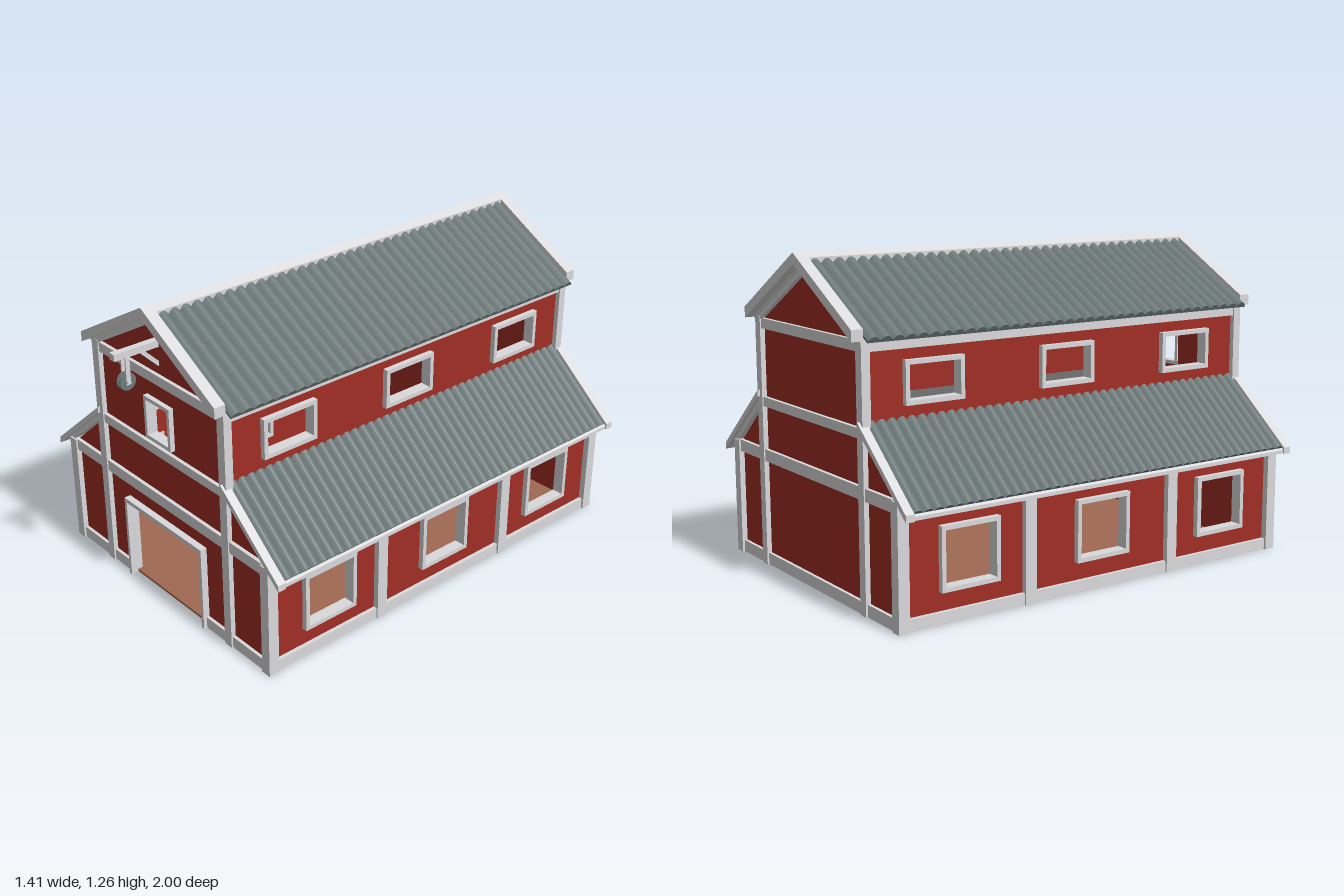
import * as THREE from 'three';

const mat = (name, color) => Object.assign(new THREE.MeshStandardMaterial({ color }), { name });

export function createModel() {
  const red = mat('barn red', 0xa02e25);
  const trim = mat('pale grey trim', 0xdadadc);
  const slate = mat('roof grey', 0x6e7a7a);
  const wood = mat('floor brown', 0xa06a52);

  const add = (parent, name, geo, m) => {
    const mesh = new THREE.Mesh(geo, m);
    mesh.name = name;
    parent.add(mesh);
    return mesh;
  };
  // Box given by its limits on each axis
  const box = (parent, name, m, x0, x1, y0, y1, z0, z1) =>
    add(parent, name, new THREE.BoxGeometry(x1 - x0, y1 - y0, z1 - z0)
      .translate((x0 + x1) / 2, (y0 + y1) / 2, (z0 + z1) / 2), m);
  const poly = (pts) => new THREE.Shape(pts.map(([x, y]) => new THREE.Vector2(x, y)));
  const rect = (x0, x1, y0, y1) => poly([[x0, y0], [x1, y0], [x1, y1], [x0, y1]]);
  // Outline in x and y, extruded from z0 to z1
  const slab = (parent, name, m, shape, z0, z1) =>
    add(parent, name, new THREE.ExtrudeGeometry(shape, { depth: z1 - z0, bevelEnabled: false })
      .translate(0, 0, z0), m);
  const frameShape = (x0, x1, y0, y1, t) => {
    const s = rect(x0, x1, y0, y1);
    s.holes.push(rect(x0 + t, x1 - t, y0 + t, y1 - t));
    return s;
  };

  const model = new THREE.Group();
  model.name = 'barn';
  const barn = new THREE.Group();
  barn.name = 'building';
  barn.position.z = -0.065;
  model.add(barn);

  box(barn, 'floor', wood, -0.612, 0.612, 0.002, 0.012, -0.872, 0.872);

  // End walls; only the front has a door and a loft window
  function makeEnd(isFront) {
    const end = new THREE.Group();
    end.name = isFront ? 'frontEnd' : 'backEnd';
    const right = [[0.612, 0], [0.612, 0.455], [0.39, 0.645], [0.39, 0.99]];
    const left = right.map(([x, y]) => [-x, y]).reverse();
    const door = isFront ? [[-0.24, 0], [-0.24, 0.345], [0.24, 0.345], [0.24, 0]] : [];
    const outline = poly([...right, [0, 1.21], ...left, ...door]);
    if (isFront) outline.holes.push(rect(-0.07, 0.07, 0.705, 0.86));
    slab(end, 'endWall', red, outline, 0.855, 0.875);

    // Horizontal beams
    for (const [w, y0, y1] of [[0.62, 0.42, 0.467], [0.39, 0.638, 0.675], [0.39, 0.943, 0.983]])
      box(end, 'endBeam', trim, -w, w, y0, y1, 0.86, 0.89);
    for (const s of [-1, 1]) {
      const inner = isFront ? 0.245 : 0;
      const [a, b] = s > 0 ? [inner, 0.62] : [-0.62, -inner];
      box(end, 'baseBoard', trim, a, b, 0, 0.047, 0.86, 0.888);
      box(end, 'cornerPost', trim, s * 0.615 - 0.022, s * 0.615 + 0.022, 0, 0.465, 0.852, 0.897);
      box(end, 'tallPost', trim, s * 0.39 - 0.02, s * 0.39 + 0.02, 0, 0.99, 0.86, 0.895);
      if (isFront)
        box(end, 'doorJamb', trim, s * 0.242 - 0.007, s * 0.242 + 0.007, 0, 0.355, 0.85, 0.903);
    }
    if (isFront) {
      box(end, 'doorLintel', trim, -0.249, 0.249, 0.338, 0.355, 0.85, 0.903);
      slab(end, 'loftWindowFrame', trim, frameShape(-0.08, 0.08, 0.695, 0.872, 0.015), 0.85, 0.895);
    }
    return end;
  }
  barn.add(makeEnd(true));
  const back = makeEnd(false);
  back.rotation.y = Math.PI;
  barn.add(back);

  // Ribbed sheet between the points a (ridge) and b (eave)
  function ribbedSheet(parent, name, a, b, half, ribs, height) {
    const w = (2 * half) / ribs;
    const pts = [[-half, -0.008]];
    for (let i = 0; i < ribs; i++)
      for (let k = 0; k < 6; k++)
        pts.push([-half + w * (i + k / 6), height * Math.sin((Math.PI * k) / 6)]);
    pts.push([half, 0], [half, -0.008]);
    const up = new THREE.Vector3(a[0] - b[0], a[1] - b[1], 0);
    const depth = up.length();
    up.normalize();
    const normal = new THREE.Vector3(up.y, -up.x, 0);
    const geo = new THREE.ExtrudeGeometry(poly(pts), { depth, bevelEnabled: false });
    geo.applyMatrix4(new THREE.Matrix4()
      .makeBasis(new THREE.Vector3(0, 0, 1), normal, up).setPosition(b[0], b[1], 0));
    add(parent, name, geo, slate);
  }

  // One long side with its roofs
  function makeSide(name) {
    const side = new THREE.Group();
    side.name = name;
    const windows = [-0.595, 0, 0.595];
    // Side walls are drawn flat, then turned to face +x
    const turned = (label, m, shape, x0, x1) =>
      slab(side, label, m, shape, x0, x1).geometry.rotateY(Math.PI / 2);
    const storeys = [
      ['lower', 0.612, 0, 0.455, 0.115, 0.355],
      ['upper', 0.39, 0.63, 1.0, 0.74, 0.902],
    ];
    for (const [label, x, y0, y1, w0, w1] of storeys) {
      const wall = rect(-0.872, 0.872, y0, y1);
      for (const z of windows) {
        wall.holes.push(rect(z - 0.113, z + 0.113, w0 + 0.01, w1 - 0.01));
        turned(label + 'WindowFrame', trim, frameShape(z - 0.124, z + 0.124, w0, w1, 0.017), x - 0.025, x + 0.022);
      }
      turned(label + 'SideWall', red, wall, x - 0.02, x);
    }
    for (const z of [-0.338, 0.338])
      box(side, 'sidePost', trim, 0.6, 0.635, 0, 0.45, z - 0.024, z + 0.024);
    box(side, 'sideBase', trim, 0.6, 0.628, 0, 0.045, -0.87, 0.87);
    box(side, 'sideBeam', trim, 0.6, 0.63, 0.42, 0.452, -0.87, 0.87);
    box(side, 'eaveBeam', trim, 0.375, 0.405, 0.943, 0.985, -0.87, 0.87);

    // Sloping boards: dropped below the roof line, with a vertical thickness
    const board = (label, line, x0, x1, drop, t, z0, z1) => {
      const y0 = line(x0) - drop, y1 = line(x1) - drop;
      slab(side, label, trim, poly([[x0, y0 - t], [x1, y1 - t], [x1, y1], [x0, y0]]), z0, z1);
    };
    const high = (x) => 1.26 - 0.565 * x;
    const low = (x) => 0.692 - 0.836 * (x - 0.4);
    board('upperRoofDeck', high, 0, 0.41, 0.026, 0.022, -0.9, 0.9);
    board('ridgeCap', high, 0, 0.032, 0, 0.03, -0.9, 0.9);
    board('lowerRoofDeck', low, 0.385, 0.7, 0.014, 0.014, -0.88, 0.88);
    for (const s of [-1, 1]) {
      const ends = (a, b) => (s > 0 ? [a, b] : [-b, -a]);
      board('bargeBoard', high, 0, 0.415, 0, 0.042, ...ends(0.888, 0.935));
      board('gableTrim', high, 0, 0.4, 0.04, 0.03, ...ends(0.86, 0.893));
      board('lowerBargeBoard', low, 0.39, 0.705, 0, 0.026, ...ends(0.87, 0.905));
      board('lowerGableTrim', low, 0.4, 0.63, 0.024, 0.027, ...ends(0.86, 0.89));
    }
    ribbedSheet(side, 'upperRoof', [0.025, high(0.025) - 0.022], [0.445, high(0.445) - 0.022], 0.887, 36, 0.016);
    ribbedSheet(side, 'lowerRoof', [0.385, low(0.385) - 0.013], [0.692, low(0.692) - 0.013], 0.87, 42, 0.014);
    return side;
  }
  barn.add(makeSide('leftSide'));
  const other = makeSide('rightSide');
  other.rotation.y = Math.PI;
  barn.add(other);

  // Hoist beam with brace, hanger and pulley
  const hoist = new THREE.Group();
  hoist.name = 'hoist';
  model.add(hoist);
  box(hoist, 'hoistBeam', trim, -0.014, 0.014, 1.095, 1.122, 0.8, 1.0);
  const brace = box(hoist, 'hoistBrace', trim, -0.01, 0.01, -0.008, 0.008, -0.06, 0.06);
  brace.position.set(0, 1.066, 0.85);
  brace.rotation.x = -Math.PI / 4;
  for (const x of [-0.014, 0.014])
    box(hoist, 'pulleyHanger', trim, x - 0.003, x + 0.003, 0.99, 1.1, 0.938, 0.956);
  const disc = (name, r, w, m) =>
    add(hoist, name, new THREE.CylinderGeometry(r, r, w, 20).rotateZ(Math.PI / 2), m)
      .position.set(0, 1.0, 0.947);
  disc('pulleyCore', 0.026, 0.022, slate);
  for (const x of [-0.009, 0.009])
    add(hoist, 'pulleyRim', new THREE.CylinderGeometry(0.034, 0.034, 0.006, 20).rotateZ(Math.PI / 2), slate)
      .position.set(x, 1.0, 0.947);
  disc('pulleyAxle', 0.008, 0.044, trim);

  return model;
}
